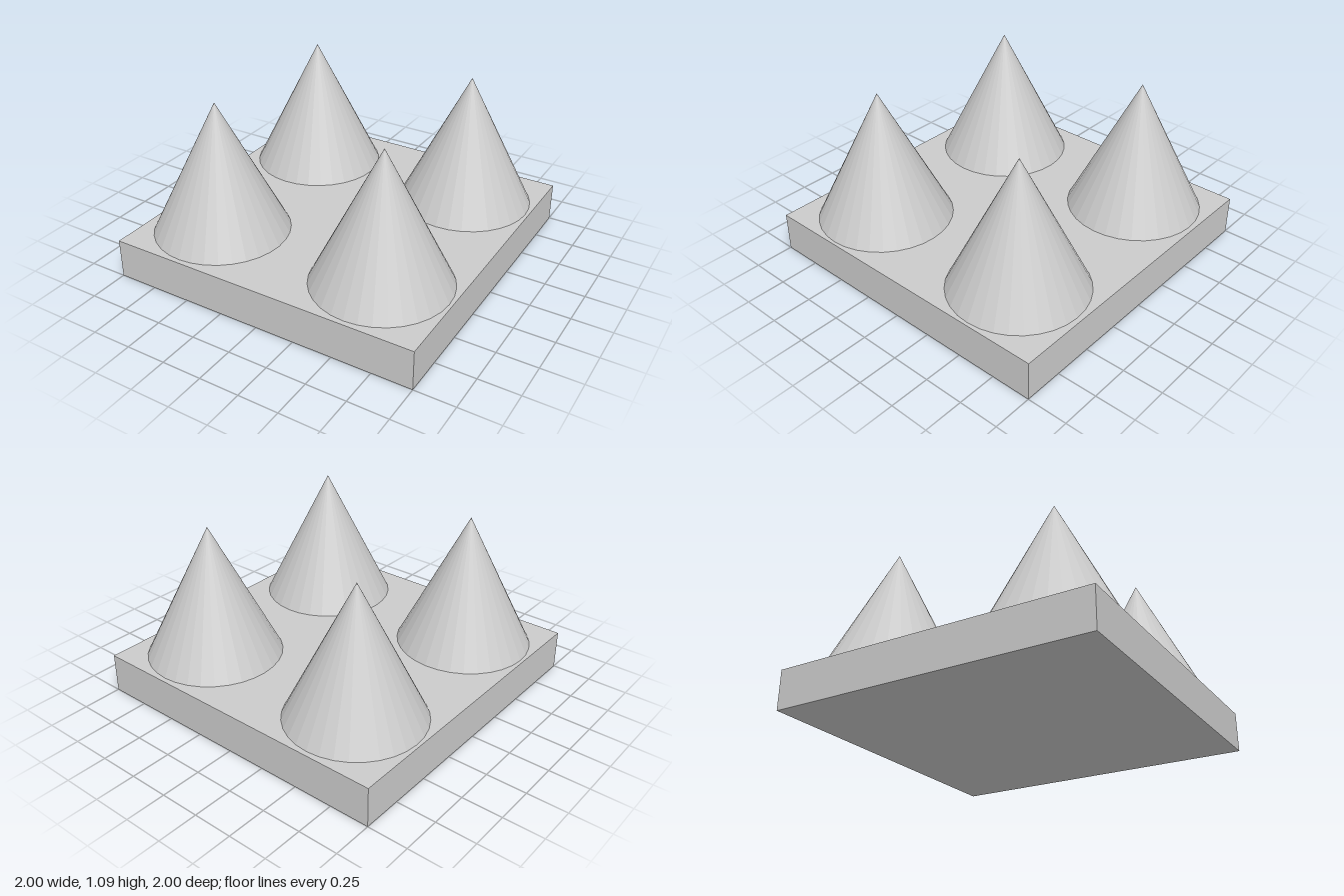
import * as THREE from 'three';

export function createModel() {
  const model = new THREE.Group();
  model.name = 'spikedPlate';
  const material = new THREE.MeshStandardMaterial({ color: 0xcccccc, flatShading: true });

  // Square base slab
  const baseHeight = 0.25;
  const base = new THREE.Mesh(new THREE.BoxGeometry(2, baseHeight, 2), material);
  base.name = 'base';
  base.position.y = baseHeight / 2;
  model.add(base);

  // One faceted cone near each corner
  const coneHeight = 0.84;
  const coneGeometry = new THREE.ConeGeometry(0.42, coneHeight, 32);
  for (const [side, x] of [['Left', 0.56], ['Right', -0.56]]) {
    for (const [end, z] of [['front', 0.55], ['back', -0.55]]) {
      const cone = new THREE.Mesh(coneGeometry, material);
      cone.name = `${end}${side}Cone`;
      cone.position.set(x, baseHeight + coneHeight / 2, z);
      model.add(cone);
    }
  }

  return model;
}
